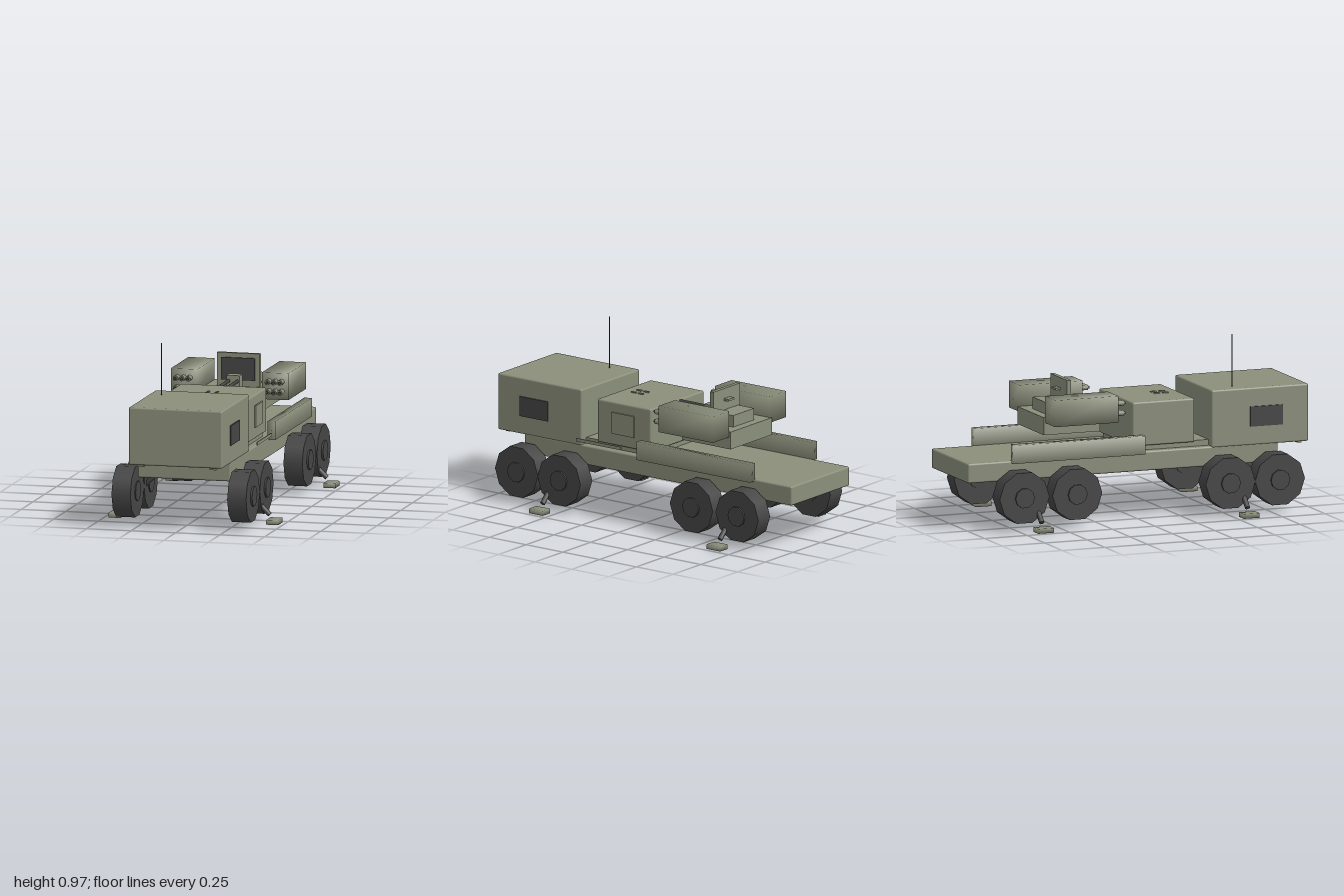
import * as THREE from 'three';
import { mergeVertices } from 'three/addons/utils/BufferGeometryUtils.js';
import { RoundedBoxGeometry } from 'three/addons/geometries/RoundedBoxGeometry.js';

const mat = (name, color) => {
  const m = new THREE.MeshStandardMaterial({ color });
  m.name = name;
  return m;
};

export function createModel() {
  const model = new THREE.Group();
  model.name = 'missileTruck';
  const paint = mat('olive grey paint', 0x8b8f7b);
  const rubber = mat('dark rubber and steel', 0x464646);

  const add = (name, geo, m, parent = model) => {
    const mesh = new THREE.Mesh(geo, m);
    mesh.name = name;
    parent.add(mesh);
    return mesh;
  };
  // Box given by its min and max on each axis; kind: plain, bevel or smooth
  const box = (name, [x0, x1], [y0, y1], [z0, z1], m = paint, kind = 'plain', parent = model) => {
    const s = [x1 - x0, y1 - y0, z1 - z0];
    let geo;
    if (kind === 'bevel') geo = new RoundedBoxGeometry(...s, 2, 0.01);
    else geo = new THREE.BoxGeometry(...s);
    if (kind === 'smooth') {
      geo.deleteAttribute('normal');
      geo.deleteAttribute('uv');
      geo = mergeVertices(geo);
      geo.computeVertexNormals();
    }
    const mesh = add(name, geo, m, parent);
    mesh.position.set((x0 + x1) / 2, (y0 + y1) / 2, (z0 + z1) / 2);
    return mesh;
  };
  // Range mirrored to side s
  const side = (s, a, b) => (s > 0 ? [a, b] : [-b, -a]);
  // Straight rod between two points
  const rod = (name, a, b, r, m, parent = model, sides = 10) => {
    const p = new THREE.Vector3(...a), q = new THREE.Vector3(...b);
    const mesh = add(name, new THREE.CylinderGeometry(r, r, p.distanceTo(q), sides), m, parent);
    mesh.position.copy(p).add(q).multiplyScalar(0.5);
    mesh.quaternion.setFromUnitVectors(new THREE.Vector3(0, 1, 0), q.sub(p).normalize());
    return mesh;
  };

  // Hull
  box('chassis', [-0.262, 0.262], [0.265, 0.373], [-1, 0.82], paint, 'bevel');
  box('cab', [-0.265, 0.262], [0.365, 0.682], [0.43, 1], paint, 'bevel');
  box('equipmentModule', [-0.243, 0.24], [0.4, 0.642], [-0.025, 0.34], paint, 'bevel');
  box('moduleBase', [-0.22, 0.22], [0.37, 0.405], [-0.01, 0.43]);
  box('sideHatch', [0.235, 0.249], [0.465, 0.585], [0.085, 0.235]);
  box('sideStep', [0.304, 0.31], [0.402, 0.42], [0.125, 0.43]);
  for (const x of [-0.028, 0.022]) {
    for (const z of [0.205, 0.255]) {
      box('roofHandle', [x - 0.006, x + 0.006], [0.638, 0.648], [z - 0.016, z + 0.016]);
    }
  }
  rod('antenna', [-0.19, 0.67, 0.58], [-0.19, 0.97, 0.58], 0.003, rubber, model, 8);

  for (const s of [1, -1]) {
    box('cabWindow', side(s, 0.264, 0.272), [0.468, 0.578], [0.655, 0.845], rubber);
    box('cabBracket', side(s, 0.185, 0.222), [0.352, 0.372], [0.95, 0.975]);
    box('sideSkirt', side(s, 0.259, 0.302), [0.363, 0.465], [-0.747, 0.026], paint, 'smooth');

    // Ten-sided wheels with hubs
    for (const z of [0.785, 0.495, -0.405, -0.715]) {
      const wheel = new THREE.Group();
      wheel.name = 'wheel';
      wheel.position.set(s * 0.325, 0.185, z);
      wheel.rotation.z = -s * Math.PI / 2;
      const tire = add('tire', new THREE.CylinderGeometry(0.146, 0.146, 0.106, 10), rubber, wheel);
      const hub = add('hub', new THREE.CylinderGeometry(0.056, 0.056, 0.122, 10), rubber, wheel);
      hub.position.y = 0.002;
      for (const part of [tire, hub]) part.rotation.y = 0;
      model.add(wheel);
    }
    // Stabiliser legs and feet
    for (const z of [0.578, -0.63]) {
      rod('stabiliserLeg', [s * 0.17, 0.298, z], [s * 0.418, 0.05, z], 0.014, rubber);
      box('stabiliserFoot', side(s, 0.41, 0.477), [0.002, 0.028], [z - 0.046, z + 0.046], paint, 'smooth');
    }
  }

  // Turret
  const turret = new THREE.Group();
  turret.name = 'turret';
  model.add(turret);
  box('turretBase', [-0.19, 0.184], [0.488, 0.585], [-0.525, -0.195], paint, 'plain', turret);
  box('controlBlock', [-0.096, 0.092], [0.58, 0.65], [-0.475, -0.365], paint, 'plain', turret);
  box('radarPanel', [-0.122, 0.118], [0.58, 0.768], [-0.36, -0.337], paint, 'plain', turret);
  box('radarFace', [-0.096, 0.092], [0.62, 0.743], [-0.337, -0.328], rubber, 'plain', turret);
  box('panelHandle', [-0.03, 0.025], [0.7, 0.712], [-0.39, -0.36], paint, 'plain', turret);
  box('gunMount', [-0.04, 0.034], [0.58, 0.662], [-0.292, -0.23], paint, 'plain', turret);
  for (const x of [-0.028, 0.022]) {
    rod('gunBarrel', [x, 0.632, -0.25], [x, 0.632, -0.02], 0.009, rubber, turret);
  }
  for (const s of [1, -1]) {
    box('missilePod', side(s, 0.182, 0.33), [0.555, 0.702], [-0.515, -0.145], paint, 'smooth', turret);
    for (const px of [0.293, 0.258, 0.223]) {
      for (const y of [0.655, 0.6]) {
        const x = s * px;
        rod('launchTube', [x, y, -0.16], [x, y, -0.1], 0.015, paint, turret);
        rod('missileTip', [x, y, -0.11], [x, y, -0.09], 0.008, rubber, turret);
      }
    }
  }
  return model;
}
